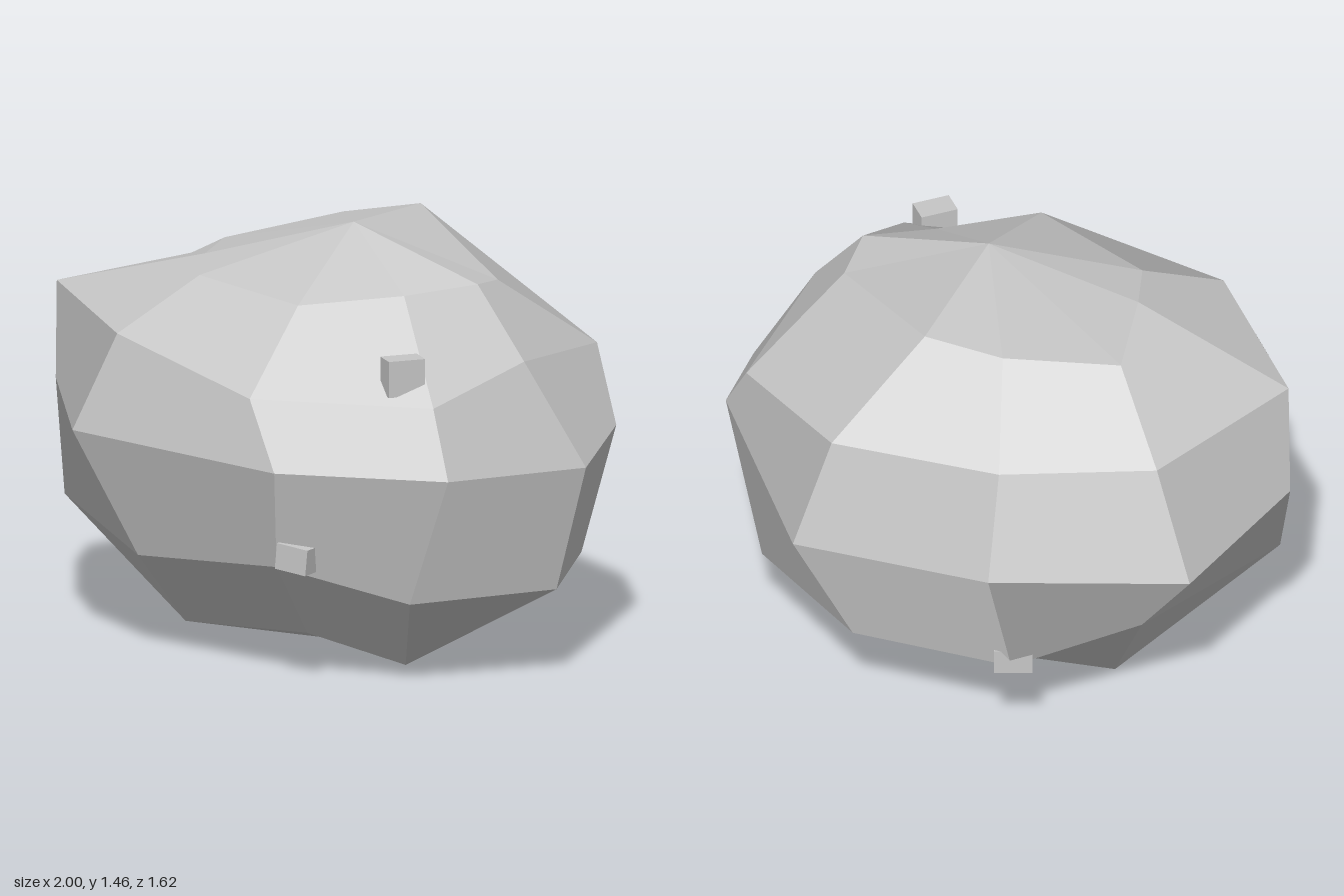
import * as THREE from 'three';

export function createModel() {
  const model = new THREE.Group();
  const stone = new THREE.MeshStandardMaterial({ color: 0xc6c6c6 });
  stone.name = 'stone grey';

  // Boulder: five uneven nine-sided rings between a top and a bottom point
  const topPoint = new THREE.Vector3(0.12, 1.455, 0.05);
  const bottomPoint = new THREE.Vector3(0, 0, 0.06);
  const rings = [
    [[-0.22, 1.365, -0.35], [0.03, 1.41, -0.45], [0.56, 1.275, -0.17], [0.61, 1.3, 0.01], [0.45, 1.275, 0.21],
      [0.22, 1.265, 0.5], [-0.26, 1.285, 0.41], [-0.37, 1.31, 0.23], [-0.51, 1.288, -0.07]],
    [[-0.36, 1.07, -0.57], [0.21, 1.06, -0.74], [0.71, 1.01, -0.53], [0.805, 1.06, 0.01], [0.78, 0.985, 0.49],
      [0.21, 0.99, 0.76], [-0.39, 1.12, 0.7], [-0.94, 1.15, 0.3], [-0.835, 1.14, -0.32]],
    [[-0.45, 0.77, -0.76], [0.32, 0.63, -0.81], [0.865, 0.765, -0.43], [0.99, 0.7, -0.09], [0.905, 0.765, 0.575],
      [0.335, 0.755, 0.79], [-0.5, 0.79, 0.805], [-1, 0.79, 0.225], [-0.97, 0.72, -0.32]],
    [[-0.46, 0.35, -0.64], [0.095, 0.335, -0.78], [0.645, 0.275, -0.53], [1, 0.315, 0.09], [0.7, 0.3, 0.515],
      [0.3, 0.415, 0.73], [-0.34, 0.35, 0.65], [-0.87, 0.43, 0.35], [-0.71, 0.38, -0.23]],
    [[-0.17, 0.125, -0.38], [0.14, 0.126, -0.43], [0.4, 0.13, -0.33], [0.5, 0.16, 0.02], [0.56, 0.04, 0.35],
      [0.24, 0.13, 0.476], [-0.34, 0.07, 0.38], [-0.5, 0.035, 0.2], [-0.5, 0.015, -0.09]],
  ].map((ring) => ring.map((p) => new THREE.Vector3(...p)));

  const positions = [];
  const normals = [];
  // One facet with a single normal, fanned from its first corner
  const facet = (...corners) => {
    const [a, b, c, d = a] = corners;
    const normal = c.clone().sub(a).cross(d.clone().sub(b)).normalize();
    for (let k = 1; k < corners.length - 1; k++) {
      for (const p of [a, corners[k], corners[k + 1]]) {
        positions.push(p.x, p.y, p.z);
        normals.push(normal.x, normal.y, normal.z);
      }
    }
  };
  const sides = rings[0].length;
  const last = rings[rings.length - 1];
  for (let i = 0; i < sides; i++) {
    const j = (i + 1) % sides;
    facet(topPoint, rings[0][j], rings[0][i]);
    for (let r = 0; r < rings.length - 1; r++) {
      facet(rings[r][i], rings[r][j], rings[r + 1][j], rings[r + 1][i]);
    }
    facet(bottomPoint, last[i], last[j]);
  }
  const geometry = new THREE.BufferGeometry();
  geometry.setAttribute('position', new THREE.Float32BufferAttribute(positions, 3));
  geometry.setAttribute('normal', new THREE.Float32BufferAttribute(normals, 3));
  const boulder = new THREE.Mesh(geometry, stone);
  boulder.name = 'boulder';
  model.add(boulder);

  // Small square chips mostly sunk into the surface
  const addChip = (name, size, position, rotation) => {
    const chip = new THREE.Mesh(new THREE.BoxGeometry(...size), stone);
    chip.name = name;
    chip.position.set(...position);
    chip.rotation.set(...rotation);
    model.add(chip);
  };
  addChip('upperChip', [0.13, 0.125, 0.085], [0.631, 1.073, 0.462], [0, 0.98, 0]);
  addChip('lowerChip', [0.12, 0.09, 0.12], [0.37, 0.455, 0.69], [0, 0.1, -0.1]);
  addChip('backChip', [0.13, 0.09, 0.1], [-0.44, 0.37, -0.6], [0, 0.62, 0]);

  return model;
}
